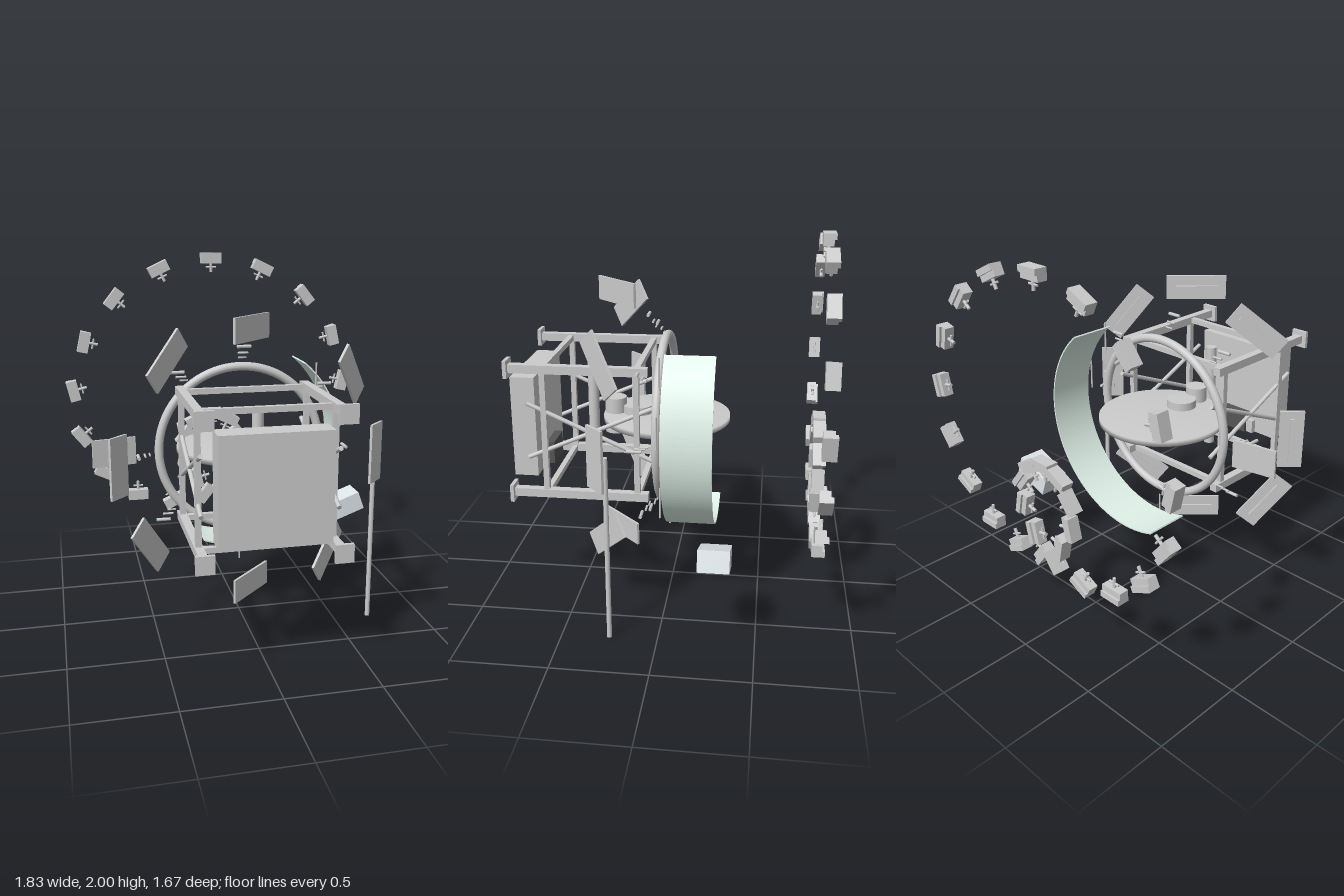
import * as THREE from 'three';

const mat = (color) => new THREE.MeshStandardMaterial({ color, side: THREE.DoubleSide });
const grey = mat(0xcccccc), glass = mat(0xe0f2e9), pale = mat(0xdfe6ea), dark = mat(0x555555);
const CY = 0.985; // height of the main axis

function add(parent, name, geo, pos = [0, 0, 0], rot = [0, 0, 0], material = grey) {
  const m = new THREE.Mesh(geo, material);
  m.name = name;
  m.position.set(...pos);
  m.rotation.set(...rot);
  parent.add(m);
  return m;
}
const box = (w, h, d) => new THREE.BoxGeometry(w, h, d);
const cyl = (r, h, n = 24) => new THREE.CylinderGeometry(r, r, h, n);

// round bar between two points
function rod(parent, name, a, b, r) {
  const p = new THREE.Vector3(...a), q = new THREE.Vector3(...b);
  const d = q.clone().sub(p);
  const m = add(parent, name, cyl(r, d.length(), 12), p.clone().add(q).multiplyScalar(0.5).toArray());
  m.quaternion.setFromUnitVectors(new THREE.Vector3(0, 1, 0), d.normalize());
}

export function createModel() {
  const root = new THREE.Group();

  // box frame: long beams, end plates, two square hoops, crossed side braces
  const frame = new THREE.Group();
  frame.name = 'frame';
  root.add(frame);
  const fx = 0.342, ys = [0.64, 1.33];
  for (const s of [-1, 1]) {
    for (const y of ys) {
      add(frame, 'longBeam', box(0.045, 0.045, 0.74), [s * fx, y, 0.46]);
      add(frame, 'endPlate', box(0.095, 0.095, 0.02), [s * fx, y, 0.825]);
    }
    rod(frame, 'brace', [s * fx, 0.84, 0.73], [s * fx, 1.14, 0.055], 0.012);
    rod(frame, 'brace', [s * fx, 1.14, 0.73], [s * fx, 0.84, 0.055], 0.012);
  }
  for (const z of [0.15, 0.64]) {
    for (const s of [-1, 1]) add(frame, 'post', box(0.03, 0.69, 0.03), [s * fx, CY, z]);
    for (const y of ys) add(frame, 'crossBeam', box(0.684, 0.03, 0.03), [0, y, z]);
  }

  // front cabinet with a dark unit behind it
  add(root, 'frontCabinet', box(0.56, 0.555, 0.13), [0, 0.983, 0.77]);
  add(root, 'darkUnit', box(0.195, 0.125, 0.05), [0, 0.767, 0.685], [0, 0, 0], dark);
  add(root, 'sideUnit', box(0.045, 0.08, 0.03), [-0.122, 0.745, 0.69]);

  // main ring, flat disc and the cylinders around it
  add(root, 'mainRing', new THREE.TorusGeometry(0.45, 0.0235, 16, 72), [0, CY, 0.037]);
  const discProfile = [[0, -0.015], [0.35, -0.015], [0.35, 0.015], [0, 0.015]];
  add(root, 'disc', new THREE.LatheGeometry(discProfile.map((p) => new THREE.Vector2(...p)), 64), [0, CY, 0.033]);
  add(root, 'hub', cyl(0.083, 0.12, 32), [0, CY, 0.195]);
  add(root, 'innerCylinder', cyl(0.06, 0.2), [0, CY, 0.32]);
  add(root, 'column', cyl(0.03, 0.605), [0, 0.988, 0.445]);

  // curved mirror strip sweeping from upper left to below the axis
  const arc = new THREE.Shape();
  const a0 = THREE.MathUtils.degToRad(50), a1 = THREE.MathUtils.degToRad(-110);
  arc.absarc(0, 0, 0.588, a0, a1, true);
  arc.absarc(0, 0, 0.58, a1, a0, false);
  add(root, 'curvedMirror',
    new THREE.ExtrudeGeometry(arc, { depth: 0.26, bevelEnabled: false, curveSegments: 64 }),
    [0, CY, -0.26], [0, 0, 0], glass);
  for (const [x, y] of [[0.435, 1.35], [0.565, 1.085], [0.435, 0.65], [0, 0.405]]) {
    add(root, 'mirrorRod', cyl(0.005, 0.17, 8), [x, y, 0.018]);
  }

  // tilted pale box with indicator lamps underneath
  const control = new THREE.Group();
  control.name = 'controlBox';
  control.position.set(0.703, 0.492, -0.29);
  control.rotation.z = 0.355;
  root.add(control);
  add(control, 'controlCase', box(0.24, 0.11, 0.158), [0, 0, 0], [0, 0, 0], pale);
  [0x33cc55, 0xff9933, 0xee3322].forEach((c, i) => {
    add(control, 'lamp', new THREE.SphereGeometry(0.01, 12, 8), [0.036, -0.056, 0.01 - i * 0.026], [0, 0, 0], mat(c));
  });

  // thin side plate and the standing pole
  add(root, 'sidePlate', box(0.24, 0.152, 0.014), [-0.687, 0.983, -0.007], [0, 0.2, 0]);
  add(root, 'pole', cyl(0.013, 1.0, 16), [0.7, 0.5, 0.25]);

  // eight panels around the frame, all turned the same way, with small bars inside
  for (let i = 0; i < 8; i++) {
    const deg = Math.floor(i / 2) * 90 + (i % 2) * 38.7;
    const phi = THREE.MathUtils.degToRad(deg);
    const c = Math.cos(phi), s = Math.sin(phi);
    const yaw = new THREE.Group();
    yaw.name = 'panel';
    yaw.position.set(0.688 * c, CY + 0.688 * s, 0.302);
    yaw.rotation.y = Math.PI / 4;
    root.add(yaw);
    const tilt = new THREE.Group();
    tilt.rotation.z = phi - Math.PI / 2;
    yaw.add(tilt);
    add(tilt, 'panelPlate', box(0.325, 0.13, 0.014));
    add(tilt, 'panelRib', box(0.24, 0.02, 0.012), [0, 0, -0.012]);

    const onSide = Math.abs(s) < 0.1;
    [[0.57, 0.13, 0.075, 0.009], [0.533, 0.105, 0.055, 0.006], [0.506, 0.09, 0.045, 0.005]].forEach(([r, z, len, t]) => {
      add(root, 'smallBar', cyl(t, len, 10), [r * c, CY + r * s, z],
        onSide ? [Math.PI / 2, 0, 0] : [0, 0, Math.PI / 2]);
    });
  }

  // chain of little blocks on a looped curve (outer loop with a smaller loop inside)
  const count = 28;
  for (let k = 0; k < count; k++) {
    const step = (k / count) * Math.PI * 2;
    const th = Math.PI / 2 + step;
    const r = 0.49 + Math.sin(th);
    const block = new THREE.Group();
    block.name = 'chainBlock';
    block.position.set(r * Math.cos(th), 0.48 + r * Math.sin(th), -0.8);
    block.rotation.z = 2 * step;
    root.add(block);
    add(block, 'blockBody', box(0.125, 0.064, 0.055), [0, 0, 0.004]);
    add(block, 'blockBack', box(0.125, 0.032, 0.02), [0, 0.016, -0.026]);
    add(block, 'blockStem', cyl(0.009, 0.055, 10), [0, -0.057, 0]);
    add(block, 'blockCrossbar', cyl(0.006, 0.062, 10), [0, -0.055, 0], [0, 0, Math.PI / 2]);
  }
  return root;
}
